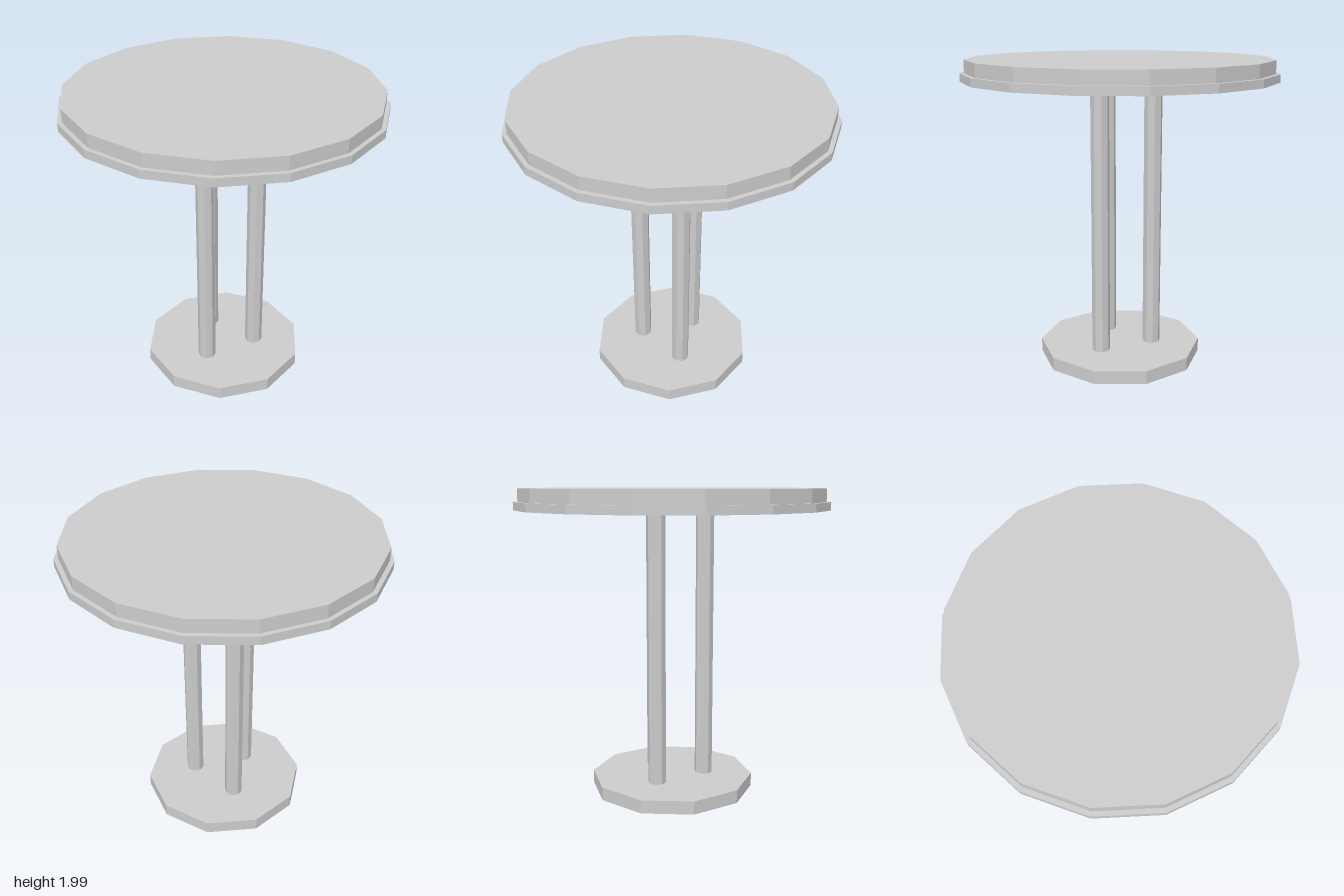
import * as THREE from 'three';

export function createModel() {
  const model = new THREE.Group();
  model.name = 'pedestalTable';
  const grey = new THREE.MeshStandardMaterial({ color: 0xcccccc, flatShading: true });
  grey.name = 'light grey';

  // Upright faceted cylinder between two heights
  function disc(name, radius, sides, bottom, top, x = 0, z = 0) {
    const mesh = new THREE.Mesh(
      new THREE.CylinderGeometry(radius, radius, top - bottom, sides), grey);
    mesh.name = name;
    mesh.position.set(x, (bottom + top) / 2, z);
    model.add(mesh);
  }

  // Ten-sided foot
  disc('base', 0.539, 10, 0, 0.087);

  // Three octagonal columns in a triangle, one of them on +x
  for (let i = 0; i < 3; i++) {
    const a = (i * Math.PI * 2) / 3;
    disc(`column${i + 1}`, 0.059, 8, 0.087, 1.86, 0.214 * Math.cos(a), 0.214 * Math.sin(a));
  }

  // Stepped sixteen-sided table top
  disc('topRim', 1, 16, 1.86, 1.911);
  disc('tableTop', 0.972, 16, 1.911, 1.994);

  return model;
}
